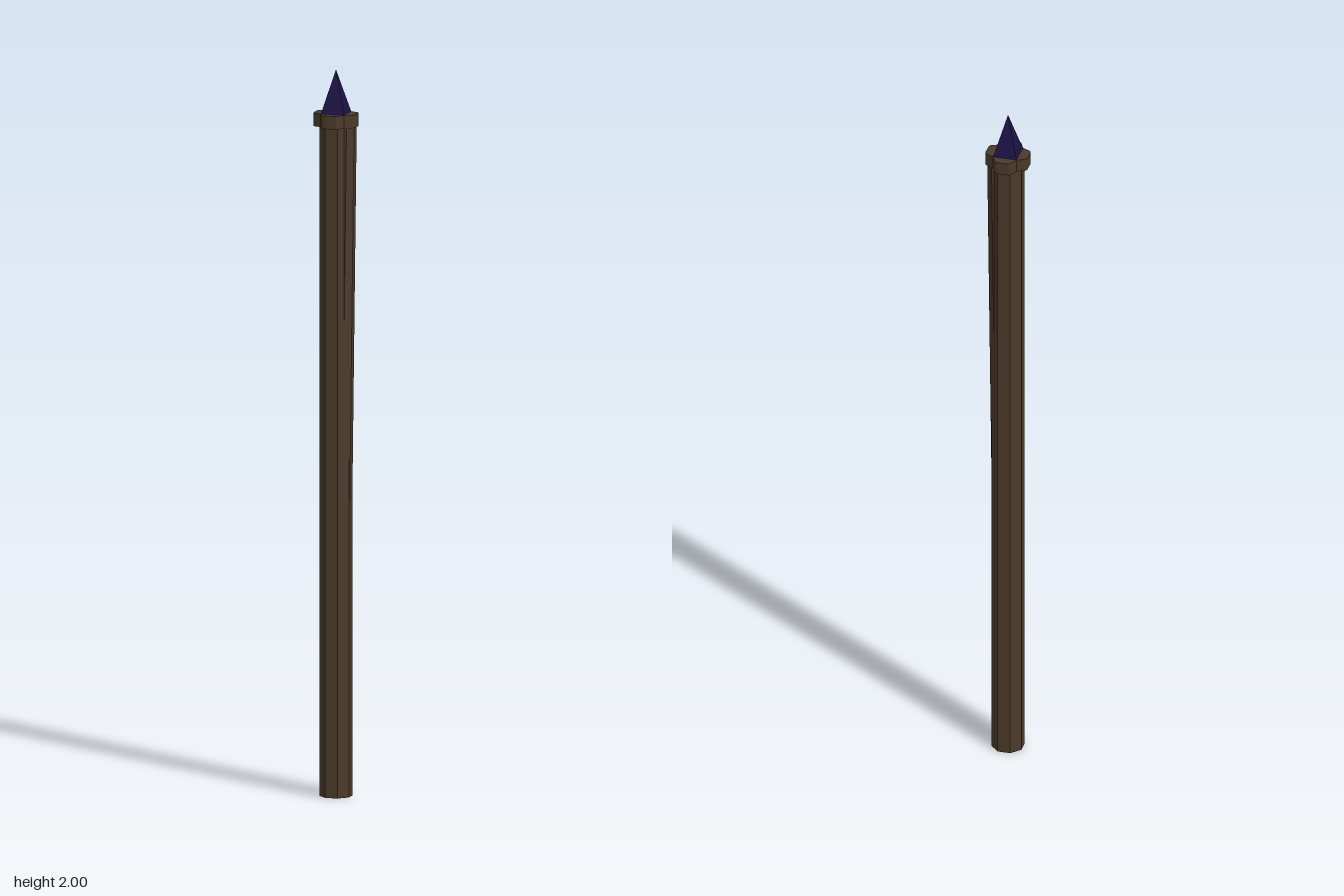
import * as THREE from 'three';

const paint = (color) => new THREE.MeshStandardMaterial({ color, flatShading: true });

export function createModel() {
  const group = new THREE.Group();
  const wood = paint(0x4b3a29);
  const add = (name, geometry, material) => {
    const mesh = new THREE.Mesh(geometry, material);
    mesh.name = name;
    group.add(mesh);
    return mesh;
  };
  // Eight-sided post with flats facing the axes; flat = half width across flats
  const octagonPost = (flat, height) => {
    const r = flat / Math.cos(Math.PI / 8);
    return new THREE.CylinderGeometry(r, r, height, 8).rotateY(Math.PI / 8).translate(0, height / 2, 0);
  };

  // Main shaft
  add('shaft', octagonPost(0.042, 1.86), wood);

  // Slender inner core, leaning so that it breaks out of the +x side near the top
  const core = add('leaningCore', octagonPost(0.028, 1.855), wood);
  core.position.set(0.005, 0.005, 0);
  core.rotation.z = -0.012;

  // Four-lobed collar: one lobe outline turned around the axis
  const lobe = [[0.033, -0.033], [0.055, -0.023], [0.058, -0.019], [0.059, -0.014],
    [0.059, 0.014], [0.058, 0.019], [0.055, 0.023]];
  const outline = [];
  for (let i = 0; i < 4; i++) {
    for (const [x, y] of lobe) {
      outline.push(new THREE.Vector2(x, y).rotateAround(new THREE.Vector2(), i * Math.PI / 2));
    }
  }
  const collar = new THREE.ExtrudeGeometry(new THREE.Shape(outline), { depth: 0.036, bevelEnabled: false });
  collar.rotateX(-Math.PI / 2).translate(0, 1.845, 0);
  add('collar', collar, wood);

  // Pyramid spike
  const spike = new THREE.ConeGeometry(0.033 * Math.SQRT2, 0.12, 4);
  spike.rotateY(Math.PI / 4).translate(0, 1.94, 0);
  add('spike', spike, paint(0x1c1145));

  return group;
}
